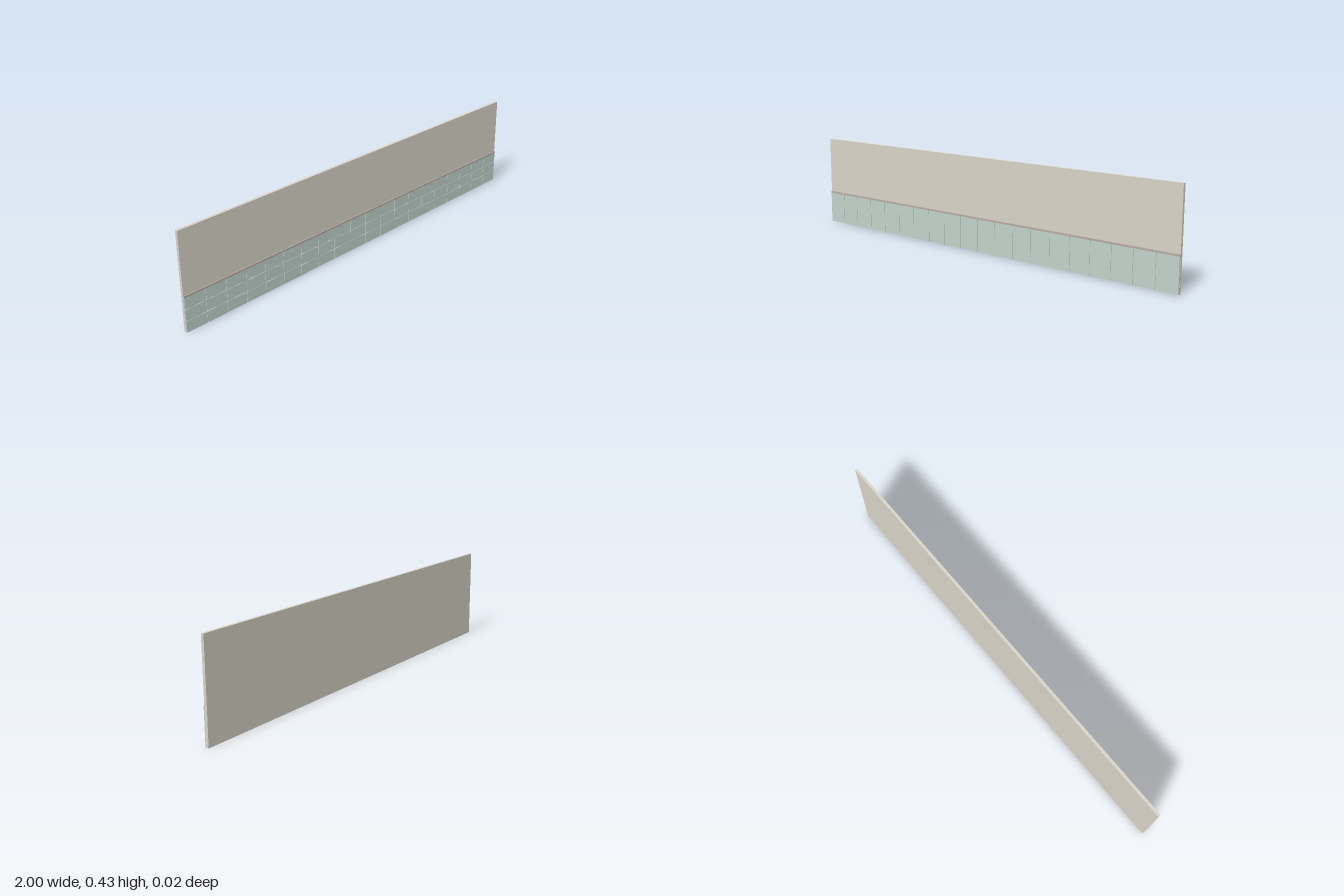
import * as THREE from 'three';

export function createModel() {
  const model = new THREE.Group();
  const paint = (color) => new THREE.MeshStandardMaterial({ color });
  const plaster = paint(0xd9d4c8);
  const glaze = paint(0xc1d3cb);
  const grout = paint(0xb9c6bf);
  const wood = paint(0xb9aca4);

  // Box given by its limits on each axis
  function block(parent, name, material, [x0, x1], [y0, y1], [z0, z1]) {
    const mesh = new THREE.Mesh(new THREE.BoxGeometry(x1 - x0, y1 - y0, z1 - z0), material);
    mesh.position.set((x0 + x1) / 2, (y0 + y1) / 2, (z0 + z1) / 2);
    mesh.name = name;
    parent.add(mesh);
  }

  const wallFront = 0.004;
  block(model, 'wall', plaster, [-1, 1], [0, 0.425], [-0.0085, wallFront]);
  block(model, 'grout', grout, [-0.999, 0.999], [0.001, 0.15], [wallFront, 0.006]);

  // Three courses of tiles with narrow joints
  const tiles = new THREE.Group();
  tiles.name = 'tiles';
  const columns = 20, rows = 3, width = 0.1, height = 0.05, joint = 0.001;
  for (let row = 0; row < rows; row++) {
    for (let col = 0; col < columns; col++) {
      const x = -1 + col * width;
      const y = row * height;
      block(tiles, 'tile', glaze, [x + joint, x + width - joint],
        [y + joint, y + height - joint], [wallFront, 0.008]);
    }
  }
  model.add(tiles);

  // Rail capping the tiles
  block(model, 'capRail', wood, [-1, 1], [0.149, 0.157], [wallFront, 0.0085]);

  return model;
}
